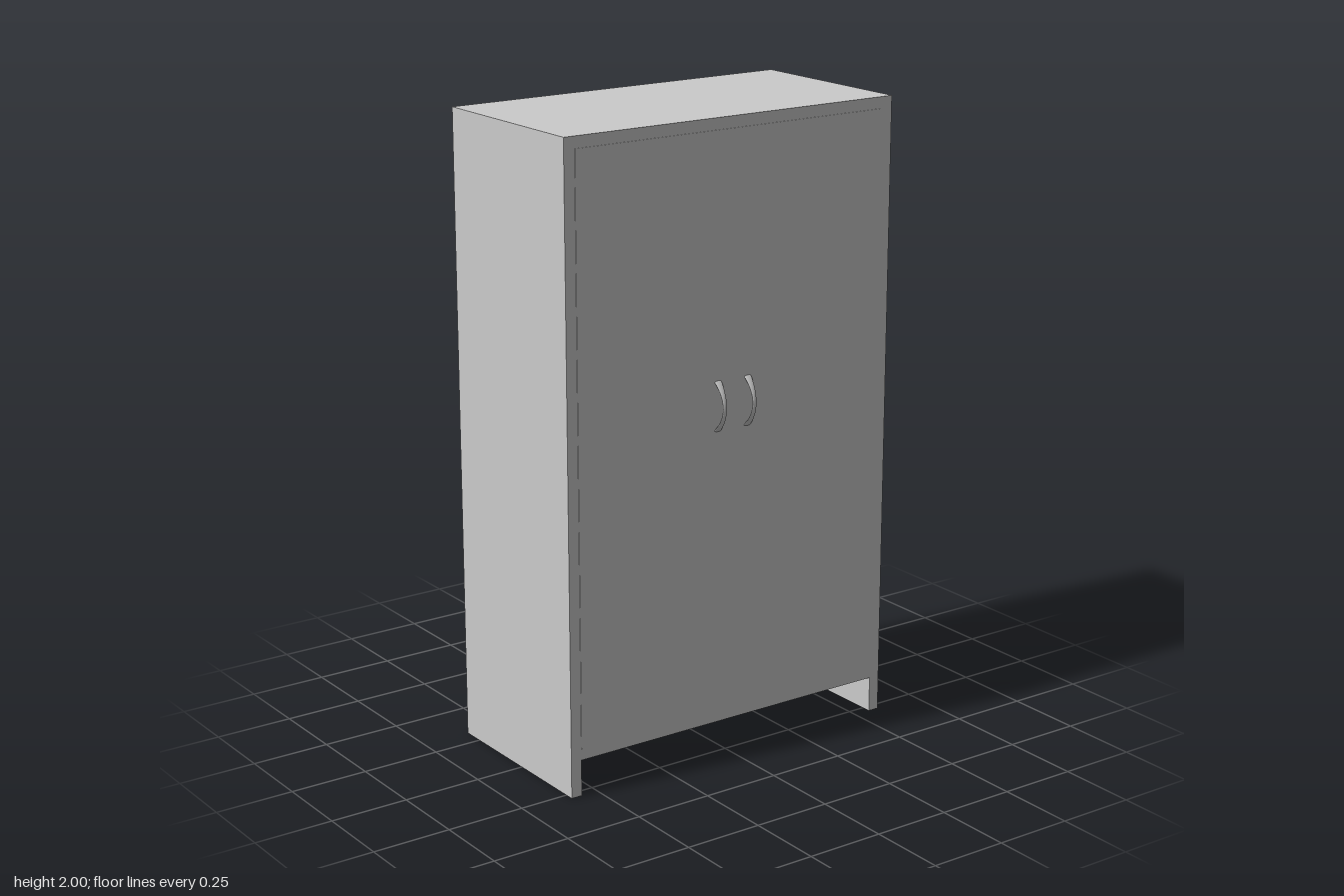
import * as THREE from 'three';

const W = 1.184, H = 2, BACK = -0.32, FRONT = 0.28, T = 0.036, BASE = 0.115;

export function createModel() {
  const group = new THREE.Group();
  const material = new THREE.MeshStandardMaterial({ color: 0xcccccc });
  const add = (name, geometry) => {
    const mesh = new THREE.Mesh(geometry, material);
    mesh.name = name;
    group.add(mesh);
    return mesh;
  };
  // Board given by its lower and upper corner
  const board = (name, x0, x1, y0, y1, z0, z1) =>
    add(name, new THREE.BoxGeometry(x1 - x0, y1 - y0, z1 - z0))
      .position.set((x0 + x1) / 2, (y0 + y1) / 2, (z0 + z1) / 2);

  // Carcase: the sides run down to the floor as feet
  const inner = W / 2 - T;
  board('rightSide', -W / 2, -inner, 0, H, BACK, FRONT);
  board('leftSide', inner, W / 2, 0, H, BACK, FRONT);
  board('topPanel', -inner, inner, H - T, H, BACK, FRONT);
  board('bottomPanel', -inner, inner, BASE, BASE + T, BACK, FRONT);
  board('backPanel', -inner, inner, BASE + T, H - T, BACK, BACK + 0.02);

  // Doors, meeting in the middle and barely proud of the carcase
  const doorFront = FRONT + 0.002;
  board('rightDoor', -inner, 0, BASE + T, H - T, FRONT - 0.03, doorFront);
  board('leftDoor', 0, inner, BASE + T, H - T, FRONT - 0.03, doorFront);

  // Bowed handles: a thin tube widened sideways, flaring towards the door
  const reach = 0.036, radius = 0.003;
  const bow = new THREE.QuadraticBezierCurve3(
    new THREE.Vector3(0, -0.077, -0.002),
    new THREE.Vector3(0, 0, 2 * reach),
    new THREE.Vector3(0, 0.077, -0.002));
  const handle = new THREE.TubeGeometry(bow, 32, radius, 12, false);
  const p = handle.attributes.position;
  for (let i = 0; i < p.count; i++) {
    const out = THREE.MathUtils.clamp(p.getZ(i) / reach, 0, 1);
    p.setX(i, p.getX(i) * (0.013 - 0.006 * out) / radius);
  }
  handle.computeVertexNormals();
  add('rightHandle', handle).position.set(-0.057, 1.132, doorFront);
  add('leftHandle', handle).position.set(0.053, 1.132, doorFront);

  return group;
}
